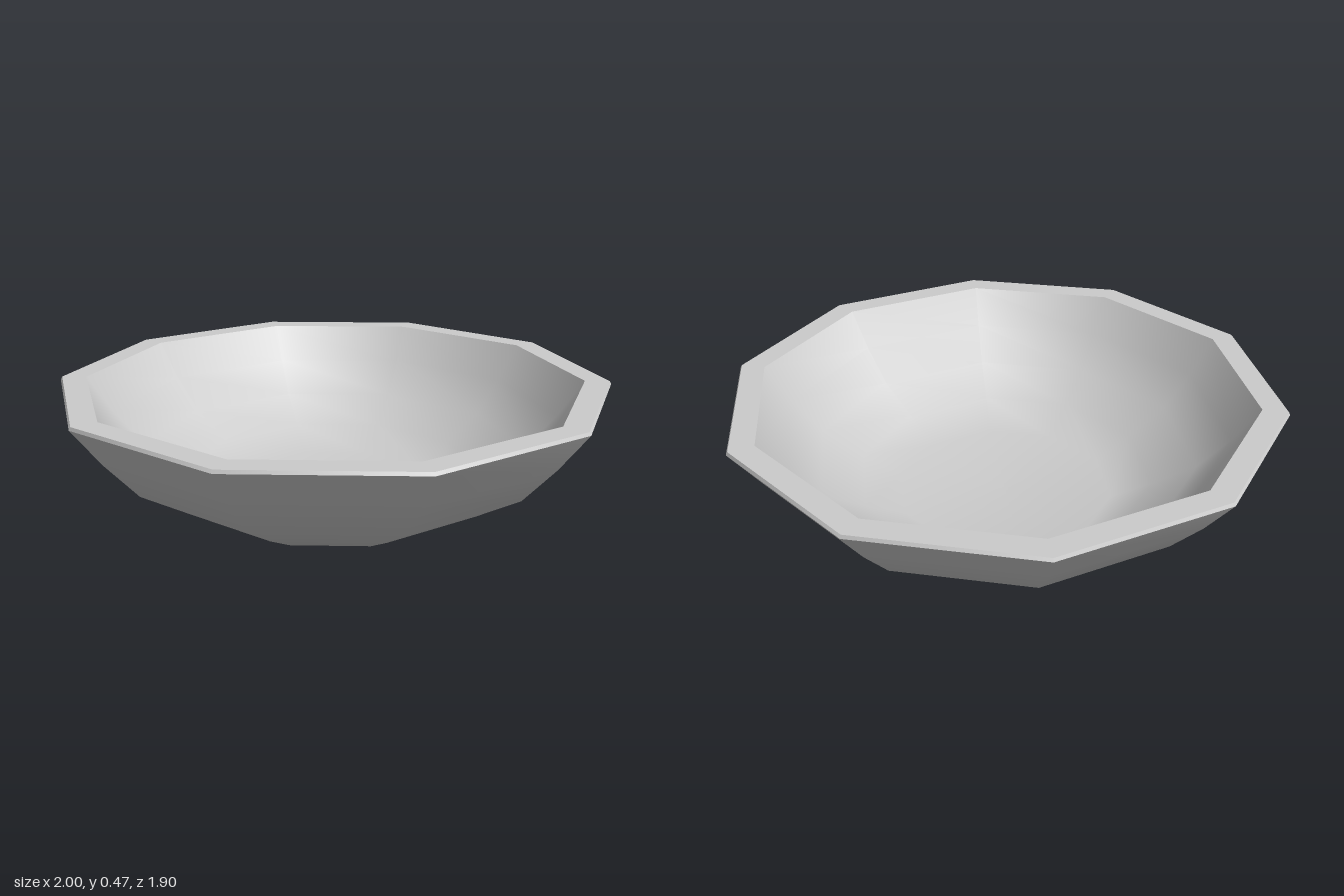
import * as THREE from 'three';

export function createModel() {
  const group = new THREE.Group();
  group.name = 'bowl';
  const material = new THREE.MeshStandardMaterial({ color: 0xcccccc });

  // Ten-sided turned surface with a corner on the x axis.
  // Profiles rising outside and falling inside face the right way.
  const turned = (name, profile) => {
    const points = profile.map(([r, y]) => new THREE.Vector2(r, y));
    const mesh = new THREE.Mesh(new THREE.LatheGeometry(points, 10, Math.PI / 2), material);
    mesh.name = name;
    group.add(mesh);
  };

  // Separate surfaces keep the rim edges sharp while the walls stay smooth
  turned('outerWall', [[0, 0], [0.446, 0.003], [0.608, 0.087], [0.778, 0.187], [0.898, 0.323], [1, 0.46]]);
  turned('rimEdge', [[1, 0.46], [0.994, 0.471]]);
  turned('rimTop', [[0.994, 0.471], [0.905, 0.471]]);
  turned('innerWall', [[0.905, 0.471], [0.813, 0.337], [0.704, 0.214], [0.55, 0.123], [0.404, 0.047], [0, 0.043]]);

  return group;
}
